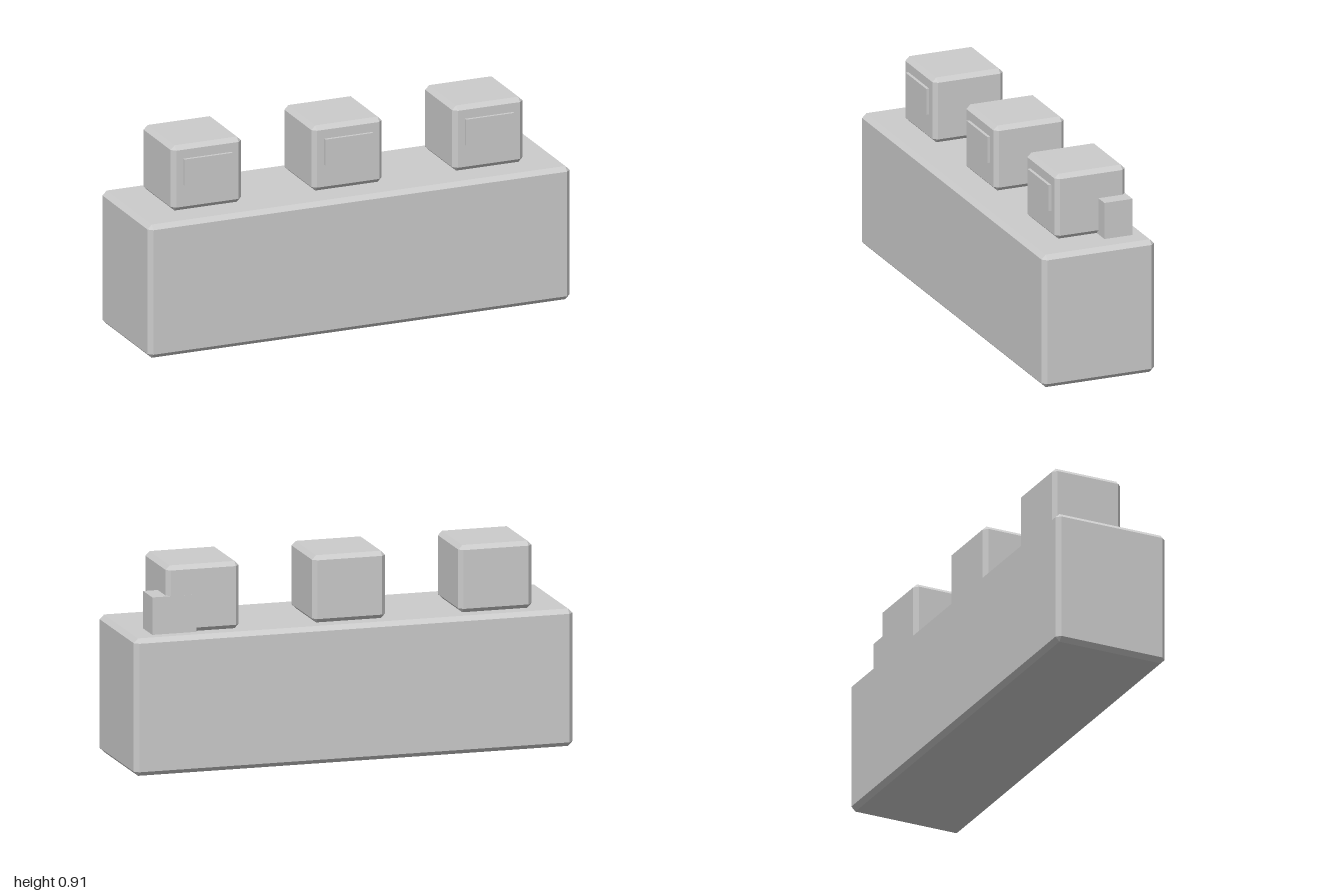
import * as THREE from 'three';
import { ConvexGeometry } from 'three/addons/geometries/ConvexGeometry.js';

// Box whose edges are cut by a flat 45 degree chamfer
function chamferBox(w, h, d, c) {
  const half = [w / 2, h / 2, d / 2];
  const points = [];
  for (const sx of [-1, 1]) for (const sy of [-1, 1]) for (const sz of [-1, 1]) {
    for (let full = 0; full < 3; full++) {
      const p = half.map((v, i) => (i === full ? v : v - c));
      points.push(new THREE.Vector3(p[0] * sx, p[1] * sy, p[2] * sz));
    }
  }
  return new ConvexGeometry(points);
}

export function createModel() {
  const group = new THREE.Group();
  const grey = new THREE.MeshStandardMaterial({ color: 0xcccccc });
  grey.name = 'light grey';

  const add = (name, geometry, x, y, z) => {
    const mesh = new THREE.Mesh(geometry, grey);
    mesh.name = name;
    mesh.position.set(x, y, z);
    group.add(mesh);
  };

  // Long block standing on the ground
  const baseTop = 0.613;
  add('base', chamferBox(2, baseTop, 0.533, 0.02), 0, baseTop / 2, 0);

  // Row of three cubes, each with a raised front panel
  const cube = chamferBox(0.333, 0.3, 0.333, 0.019);
  const panel = new THREE.BoxGeometry(0.227, 0.12, 0.027);
  ['right', 'middle', 'left'].forEach((side, i) => {
    const x = (i - 1) * 0.667;
    add(side + 'Cube', cube, x, baseTop + 0.15, -0.033);
    add(side + 'Panel', panel, x, 0.793, 0.1335);
  });

  // Small block set into the back corner of the left cube
  add('sideBlock', new THREE.BoxGeometry(0.2, 0.167, 0.133), 0.8, baseTop + 0.0835, -0.1335);

  return group;
}
